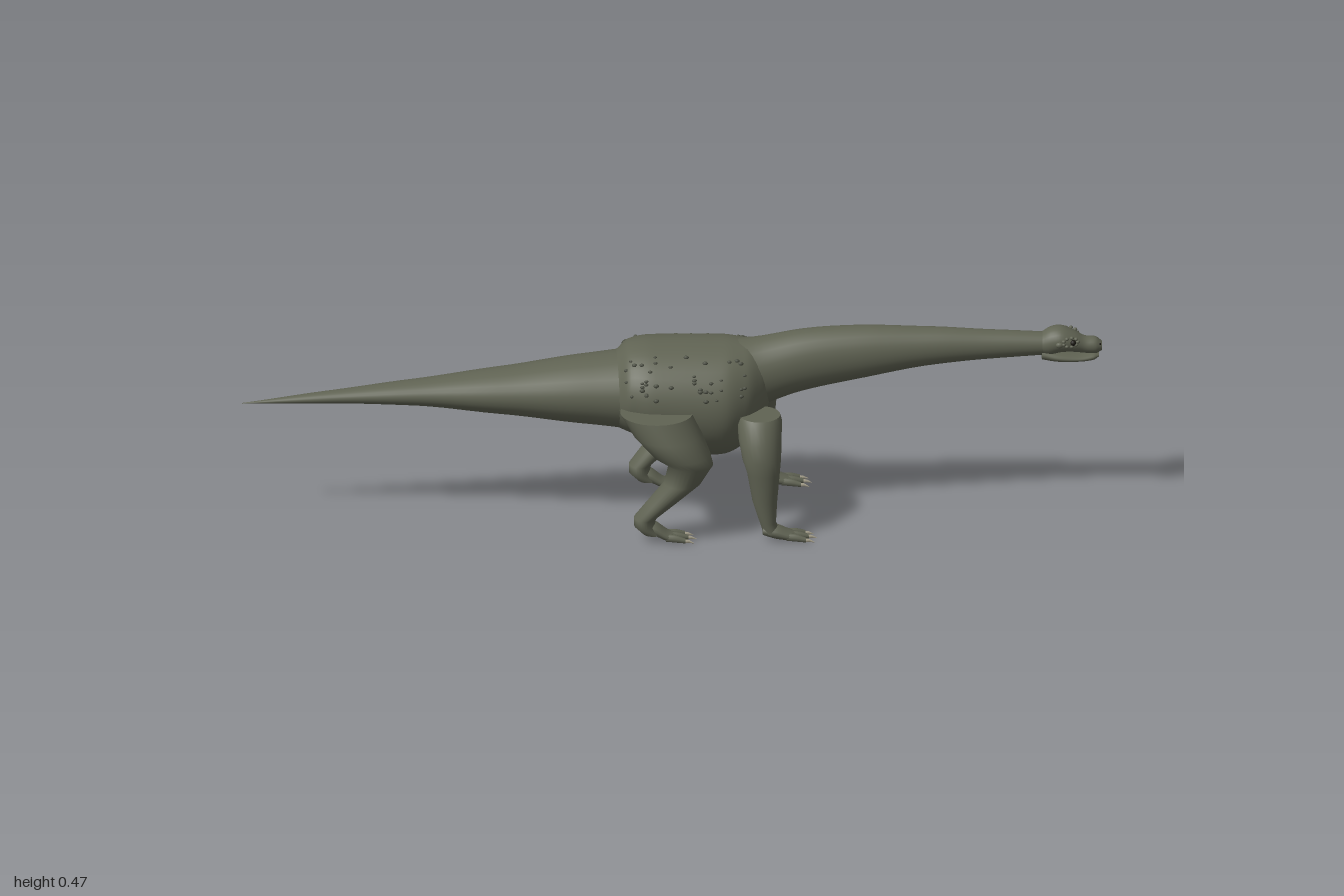
import * as THREE from 'three';
import { mergeGeometries } from 'three/addons/utils/BufferGeometryUtils.js';

const SEG = 28;

// Smoothly resample rings of [x, y, z, a, b]
function smooth(rings, n) {
  const c = new THREE.CatmullRomCurve3(rings.map(r => new THREE.Vector3(r[0], r[1], r[2])), false, 'centripetal');
  const d = new THREE.CatmullRomCurve3(rings.map(r => new THREE.Vector3(r[3], r[4], 0)), false, 'catmullrom', 0.4);
  return Array.from({ length: n + 1 }, (_, i) => {
    const p = c.getPoint(i / n), q = d.getPoint(i / n);
    return [p.x, p.y, p.z, Math.max(q.x, 0.0005), Math.max(q.y, 0.0005)];
  });
}

// Skin over elliptical rings. axis 'x': a is the y radius, axis 'y': a is the x radius; b is the z radius.
function loft(rings, axis, seg = SEG) {
  const pos = [], idx = [], n = rings.length;
  const ring = ([x, y, z, a, b]) => {
    for (let j = 0; j < seg; j++) {
      const t = j / seg * Math.PI * 2, c = a * Math.cos(t);
      pos.push(axis === 'x' ? x : x + c, axis === 'x' ? y + c : y, z + b * Math.sin(t));
    }
  };
  rings.forEach(ring);
  for (let i = 0; i < n - 1; i++) for (let j = 0; j < seg; j++) {
    const a = i * seg + j, b = i * seg + (j + 1) % seg;
    idx.push(a, b, a + seg, b, b + seg, a + seg);
  }
  // Flat end caps with their own corners
  [rings[0], rings[n - 1]].forEach((r, k) => {
    const s = pos.length / 3;
    ring(r);
    pos.push(r[0], r[1], r[2]);
    for (let j = 0; j < seg; j++) {
      const a = s + j, b = s + (j + 1) % seg;
      k ? idx.push(s + seg, a, b) : idx.push(s + seg, b, a);
    }
  });
  // Turn the faces outward if the signed volume is negative
  let vol = 0;
  const v = i => new THREE.Vector3(pos[i * 3], pos[i * 3 + 1], pos[i * 3 + 2]);
  for (let i = 0; i < idx.length; i += 3) vol += v(idx[i]).dot(v(idx[i + 1]).cross(v(idx[i + 2])));
  if (vol < 0) idx.reverse();
  const g = new THREE.BufferGeometry();
  g.setAttribute('position', new THREE.Float32BufferAttribute(pos, 3));
  g.setIndex(idx);
  g.computeVertexNormals();
  return g;
}

const blob = (x, y, z, rx, ry, rz) => new THREE.SphereGeometry(1, 12, 8).scale(rx, ry, rz).translate(x, y, z);

export function createModel() {
  const model = new THREE.Group();
  model.name = 'longNeckedDinosaur';
  const mat = (name, color) => { const m = new THREE.MeshStandardMaterial({ color }); m.name = name; return m; };
  const hide = mat('hide', 0x606353);
  const scaleMat = mat('darkScales', 0x4e5145);
  const clawMat = mat('claw', 0xa8a28e);
  const eyeMat = mat('eye', 0x1c1a14);
  const add = (name, geo, m = hide, parent = model) => {
    const mesh = new THREE.Mesh(geo, m);
    mesh.name = name;
    parent.add(mesh);
    return mesh;
  };

  // Tail
  add('tail', loft(smooth([
    [-1, 0.296, 0, 0.001, 0.001], [-0.8, 0.309, 0, 0.014, 0.02], [-0.6, 0.318, 0, 0.029, 0.042],
    [-0.4, 0.32, 0, 0.053, 0.069], [-0.2, 0.321, 0, 0.08, 0.094], [-0.05, 0.32, 0, 0.098, 0.11],
  ], 32), 'x'));

  // Barrel-shaped trunk
  const trunk = smooth([
    [-0.13, 0.32, 0, 0.088, 0.098], [-0.1, 0.327, 0, 0.106, 0.124], [-0.05, 0.318, 0, 0.124, 0.14],
    [0.05, 0.304, 0, 0.138, 0.145], [0.12, 0.302, 0, 0.139, 0.142], [0.17, 0.312, 0, 0.124, 0.116],
    [0.21, 0.33, 0, 0.09, 0.075], [0.23, 0.34, 0, 0.045, 0.04],
  ], 40);
  add('trunk', loft(trunk, 'x', 40));

  // Neck
  add('neck', loft(smooth([
    [0.1, 0.335, 0, 0.1, 0.1], [0.2, 0.358, 0, 0.084, 0.07], [0.3, 0.385, 0, 0.075, 0.06],
    [0.42, 0.402, 0, 0.066, 0.053], [0.6, 0.416, 0, 0.046, 0.041], [0.75, 0.418, 0, 0.034, 0.032],
    [0.89, 0.418, 0, 0.026, 0.027],
  ], 32), 'x'));

  // Head
  const head = new THREE.Group();
  head.name = 'head';
  model.add(head);
  add('skull', loft(smooth([
    [0.855, 0.417, 0, 0.024, 0.026], [0.88, 0.424, 0, 0.033, 0.034], [0.905, 0.429, 0, 0.031, 0.037],
    [0.935, 0.423, 0, 0.025, 0.032], [0.96, 0.414, 0, 0.02, 0.023], [0.985, 0.412, 0, 0.02, 0.021],
    [1, 0.41, 0, 0.011, 0.013],
  ], 24), 'x'), hide, head);
  add('lowerJaw', loft(smooth([
    [0.86, 0.396, 0, 0.016, 0.026], [0.9, 0.388, 0, 0.013, 0.031], [0.95, 0.384, 0, 0.009, 0.027],
    [0.98, 0.386, 0, 0.009, 0.021], [0.993, 0.388, 0, 0.004, 0.011],
  ], 16), 'x'), hide, head);
  for (const s of [1, -1]) {
    const side = s > 0 ? 'left' : 'right';
    add(side + 'Eye', blob(0.932, 0.43, s * 0.03, 0.007, 0.007, 0.007), eyeMat, head);
    add(side + 'Nostril', blob(0.994, 0.418, s * 0.011, 0.004, 0.003, 0.004), eyeMat, head);
    // Knobbly scales around the eye
    const knobs = [];
    for (let i = 0; i < 9; i++) {
      const t = i / 9 * Math.PI * 2;
      knobs.push(blob(0.926 + 0.017 * Math.cos(t), 0.432 + 0.011 * Math.sin(t), s * (0.032 - 0.004 * Math.cos(t)), 0.005, 0.004, 0.005));
    }
    knobs.push(blob(0.9, 0.427, s * 0.036, 0.009, 0.007, 0.006));
    add(side + 'EyeScales', mergeGeometries(knobs), hide, head);
  }

  // Small raised scales scattered along the flanks
  let seed = 7;
  const rnd = () => (seed = (seed * 16807) % 2147483647) / 2147483647;
  const bumps = [];
  for (let i = 0; i < 84; i++) {
    const [x, y, , a, b] = trunk[4 + Math.floor(rnd() * 26)];
    const t = 0.5 + rnd() * 0.85, s = i % 2 ? 1 : -1, r = 0.003 + rnd() * 0.002;
    bumps.push(new THREE.SphereGeometry(r, 6, 5).scale(1.4, 1, 1).translate(x, y + a * Math.cos(t), s * b * Math.sin(t)));
  }
  add('flankScales', mergeGeometries(bumps), scaleMat);

  // Legs as rings from top to ankle, each ending in a three-toed foot
  const hind = [
    [-0.04, 0.313, 0.125, 0.085, 0.08], [-0.015, 0.265, 0.142, 0.08, 0.078], [0.015, 0.222, 0.155, 0.068, 0.074],
    [0.038, 0.195, 0.16, 0.052, 0.046], [0.018, 0.15, 0.163, 0.043, 0.042], [-0.03, 0.1, 0.16, 0.034, 0.036],
    [-0.068, 0.06, 0.155, 0.026, 0.032], [-0.07, 0.04, 0.155, 0.024, 0.032], [-0.05, 0.02, 0.155, 0.024, 0.025],
  ];
  const fore = [
    [0.2, 0.295, 0.107, 0.048, 0.048], [0.2, 0.282, 0.112, 0.052, 0.055], [0.2, 0.245, 0.133, 0.05, 0.054],
    [0.203, 0.205, 0.158, 0.045, 0.037], [0.207, 0.17, 0.16, 0.038, 0.033], [0.21, 0.1, 0.16, 0.029, 0.027],
    [0.217, 0.045, 0.16, 0.019, 0.022], [0.226, 0.02, 0.16, 0.02, 0.022],
  ];
  for (const s of [1, -1]) {
    for (const [name, rings, heel, foot] of [['HindLeg', hind, -0.075, 0.155], ['FrontLeg', fore, 0.205, 0.16]]) {
      const leg = new THREE.Group();
      leg.name = (s > 0 ? 'left' : 'right') + name;
      model.add(leg);
      add('limb', loft(rings.map(([x, y, z, a, b]) => [x, y, s * z, a, b]), 'y'), hide, leg);
      const z = s * foot, high = name === 'HindLeg' ? 0.042 : 0.026;
      add('foot', loft(smooth([
        [heel, high, z, 0.012, 0.018], [heel + 0.03, high * 0.6 + 0.006, z, 0.017, 0.024],
        [heel + 0.06, 0.013, z, 0.012, 0.024], [heel + 0.078, 0.01, z, 0.008, 0.019],
      ], 10), 'x', 16), hide, leg);
      // Toes and claws
      for (const k of [-1, 0, 1]) {
        const x0 = heel + 0.055, z0 = z + k * 0.014, x1 = heel + (k ? 0.1 : 0.107), z1 = z + k * 0.022;
        add('toe', loft(smooth([
          [x0, 0.012, z0, 0.009, 0.009], [(x0 + x1) / 2, 0.011, (z0 + z1) / 2, 0.009, 0.0085],
          [x1, 0.007, z1, 0.006, 0.006],
        ], 6), 'x', 10), hide, leg);
        add('claw', loft([
          [x1 - 0.004, 0.007, z1, 0.005, 0.005], [x1 + 0.008, 0.006, z1, 0.004, 0.0035],
          [x1 + 0.02, 0.002, z1 + k * 0.002, 0.0006, 0.0006],
        ], 'x', 8), clawMat, leg);
      }
    }
  }
  return model;
}
